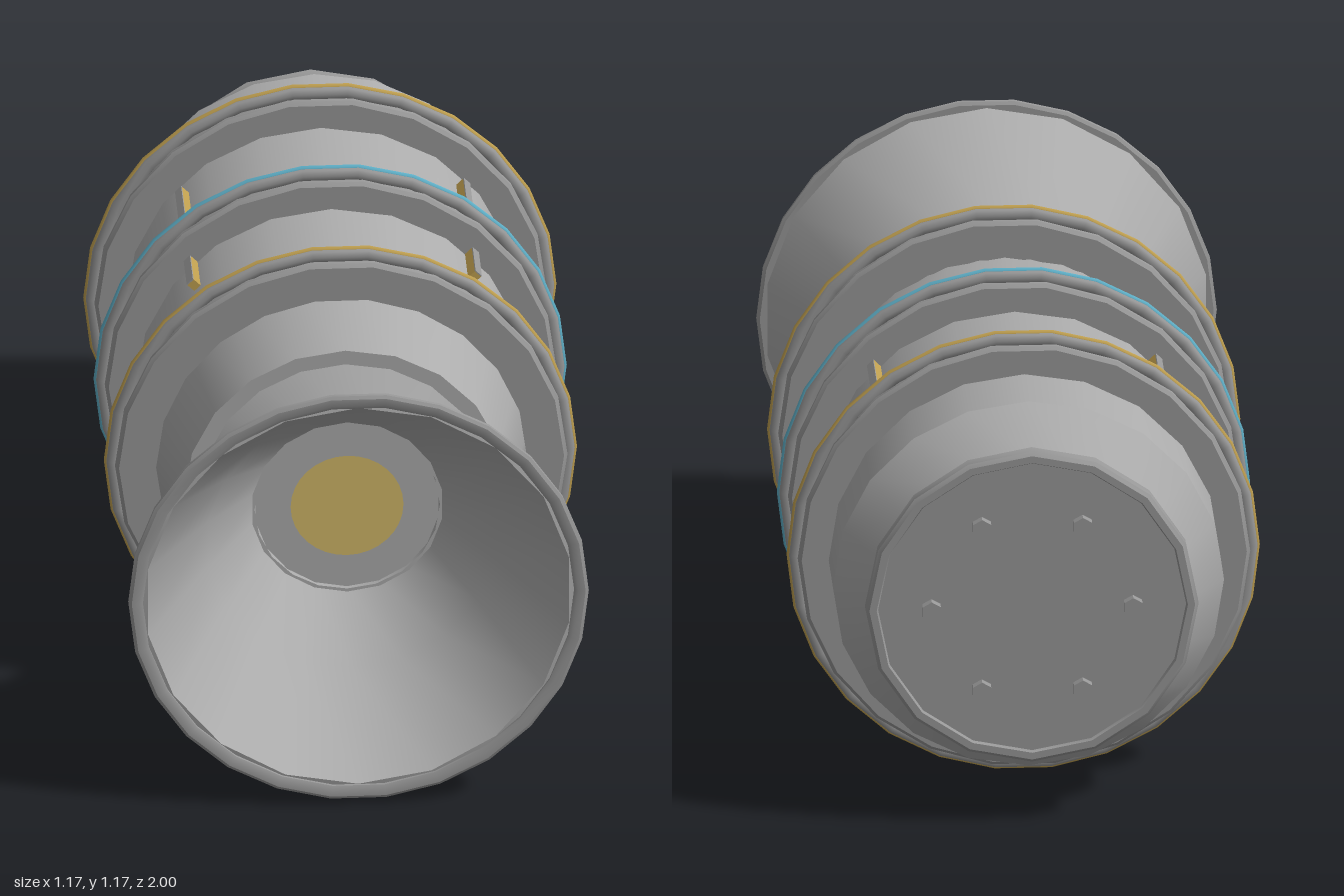
import * as THREE from 'three';
import { toCreasedNormals } from 'three/addons/utils/BufferGeometryUtils.js';

const AXIS_Y = 0.583;

function makeMaterial(name, color) {
  const m = new THREE.MeshStandardMaterial({ color });
  m.name = name;
  return m;
}

export function createModel() {
  const hull = makeMaterial('hull grey', 0xacacac);
  const trim = makeMaterial('trim grey', 0x989898);
  const gold = makeMaterial('gold', 0xc0a050);
  const glow = makeMaterial('warm glow', 0xd2b968);
  const blue = makeMaterial('light blue', 0x5fb0c8);

  const model = new THREE.Group();
  model.name = 'engine';
  const engine = new THREE.Group();
  engine.name = 'engineBody';
  engine.position.y = AXIS_Y;
  model.add(engine);

  function add(name, geometry, material, parent = engine) {
    const mesh = new THREE.Mesh(geometry, material);
    mesh.name = name;
    parent.add(mesh);
    return mesh;
  }

  // Turns [radius, z] points around the z axis
  function turned(points, sides, spin = 0) {
    const profile = points.map(([r, z]) => new THREE.Vector2(r, z));
    const geo = new THREE.LatheGeometry(profile, sides);
    geo.rotateX(Math.PI / 2).rotateZ(spin);
    return toCreasedNormals(geo, 0.5);
  }

  // Main casing with chamfered back and tapered front
  add('casing', turned([
    [0, -0.94], [0.39, -0.94], [0.485, -0.82], [0.485, 0.11], [0.4, 0.455], [0, 0.455],
  ], 20), hull);

  // Collar joining casing and nozzle
  add('nozzleCollar', turned([
    [0.37, 0.45], [0.262, 0.515], [0.262, 0.53], [0.23, 0.53],
  ], 20), hull);

  // Nozzle bell, outer wall then inner wall
  add('nozzleBell', turned([
    [0.258, 0.52], [0.38, 0.7], [0.555, 0.985], [0.53, 0.99], [0.36, 0.7], [0.228, 0.515],
  ], 18), hull);
  add('nozzleLip', turned([
    [0.535, 0.98], [0.563, 0.98], [0.571, 0.985], [0.571, 0.995], [0.563, 1.0],
    [0.545, 1.0], [0.535, 0.995], [0.535, 0.98],
  ], 26, Math.PI / 2), trim);

  // Throat plate and glowing core
  const throat = add('throatPlate', new THREE.CircleGeometry(0.235, 24), hull);
  throat.position.z = 0.518;
  const core = add('glowingCore', new THREE.CircleGeometry(0.14, 32), glow);
  core.position.z = 0.522;

  // Three raised bands, each with a central bead and a coloured line
  [[0.25, gold], [-0.17, blue], [-0.59, gold]].forEach(([z, accent], i) => {
    const band = new THREE.Group();
    band.name = `band${i + 1}`;
    band.position.z = z;
    engine.add(band);
    add('bandRing', turned([
      [0.46, -0.048], [0.552, -0.048], [0.561, -0.04], [0.561, -0.03], [0.55, -0.022],
      [0.55, 0.022], [0.561, 0.03], [0.561, 0.04], [0.552, 0.048], [0.46, 0.048],
    ], 22, Math.PI / 2), trim, band);
    add('bandBead', new THREE.TorusGeometry(0.565, 0.019, 8, 26), trim, band);
    add('bandAccent', new THREE.TorusGeometry(0.579, 0.008, 6, 26), accent, band);
  });

  // Rails at 45 degrees on both upper sides, grey on the outer face
  for (const side of [1, -1]) {
    const rail = new THREE.Group();
    rail.name = side > 0 ? 'leftRail' : 'rightRail';
    rail.rotation.z = -side * Math.PI / 4;
    engine.add(rail);
    add('railCore', new THREE.BoxGeometry(0.022, 0.024, 0.48), gold, rail)
      .position.set(0, 0.492, -0.24);
    add('railCover', new THREE.BoxGeometry(0.022, 0.003, 0.48), trim, rail)
      .position.set(0, 0.5055, -0.24);
  }

  // Rear cap with raised rim
  add('rearCap', turned([
    [0, -0.977], [0.382, -0.977], [0.386, -0.985], [0.404, -0.985], [0.413, -0.976],
    [0.413, -0.946], [0.404, -0.937], [0, -0.937],
  ], 16), trim);

  // Ring of six bolts
  for (let i = 0; i < 6; i++) {
    const a = i * Math.PI / 3;
    const geo = new THREE.CylinderGeometry(0.026, 0.026, 0.028, 6).rotateX(Math.PI / 2);
    add('bolt', toCreasedNormals(geo, 0.5), trim)
      .position.set(0.25 * Math.cos(a), 0.25 * Math.sin(a), -0.986);
  }

  return model;
}
